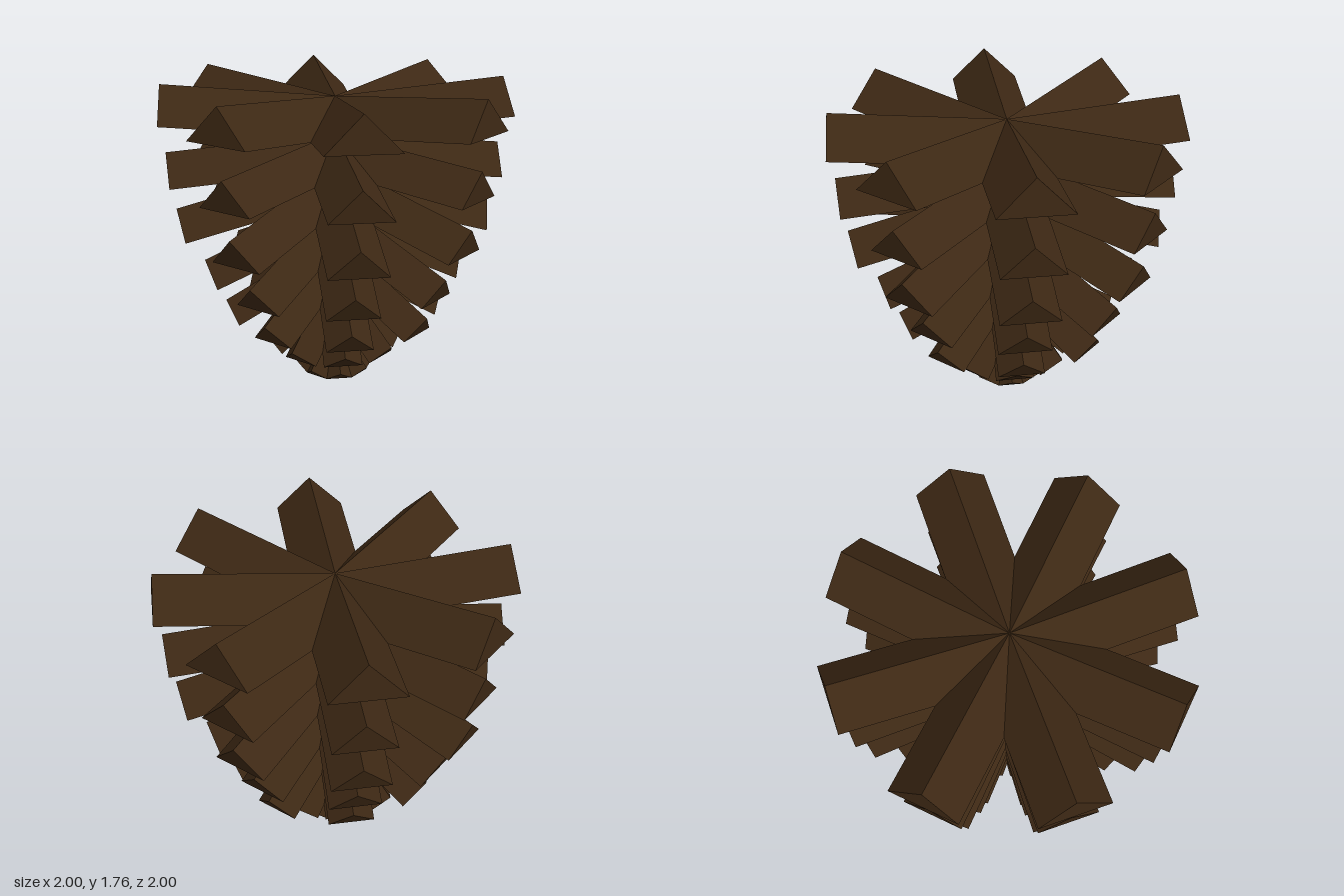
import * as THREE from 'three';

// Rings of scales, top to bottom:
// r, y = underside centre at the outer tip; s = half width and height; tilt = droop in degrees; r0 = inner start
const RINGS = [
  { r: 1.0, y: 1.565, s: 0.2, tilt: -5.3, r0: 0 },
  { r: 0.95, y: 1.205, s: 0.173, tilt: 4.8, r0: 0.035 },
  { r: 0.875, y: 0.885, s: 0.165, tilt: 15, r0: 0 },
  { r: 0.705, y: 0.59, s: 0.15, tilt: 24.5, r0: 0 },
  { r: 0.585, y: 0.355, s: 0.133, tilt: 30, r0: 0 },
  { r: 0.335, y: 0.15, s: 0.113, tilt: 45, r0: 0 },
  { r: 0.18, y: 0, s: 0.077, tilt: 48, r0: 0 },
];
const SCALES_PER_RING = 8;

// Triangular prism running along +z, ridge up, origin at the middle of its inner bottom edge
function scaleGeometry(s, length) {
  const shape = new THREE.Shape([
    new THREE.Vector2(-s, 0),
    new THREE.Vector2(s, 0),
    new THREE.Vector2(0, s),
  ]);
  return new THREE.ExtrudeGeometry(shape, { depth: length, bevelEnabled: false });
}

export function createModel() {
  const cone = new THREE.Group();
  cone.name = 'pineCone';
  const bark = new THREE.MeshStandardMaterial({ color: 0x3d2814, flatShading: true });

  RINGS.forEach(({ r, y, s, tilt, r0 }, i) => {
    const ring = new THREE.Group();
    ring.name = `scaleRing${i + 1}`;
    const angle = THREE.MathUtils.degToRad(tilt);
    const geometry = scaleGeometry(s, (r - r0) / Math.cos(angle));
    const innerY = y + (r - r0) * Math.tan(angle);

    for (let k = 0; k < SCALES_PER_RING; k++) {
      const turn = (k / SCALES_PER_RING) * Math.PI * 2;
      const scale = new THREE.Mesh(geometry, bark);
      scale.name = 'scale';
      scale.rotation.set(angle, turn, 0, 'YXZ');
      scale.position.set(r0 * Math.sin(turn), innerY, r0 * Math.cos(turn));
      ring.add(scale);
    }
    cone.add(ring);
  });
  return cone;
}
